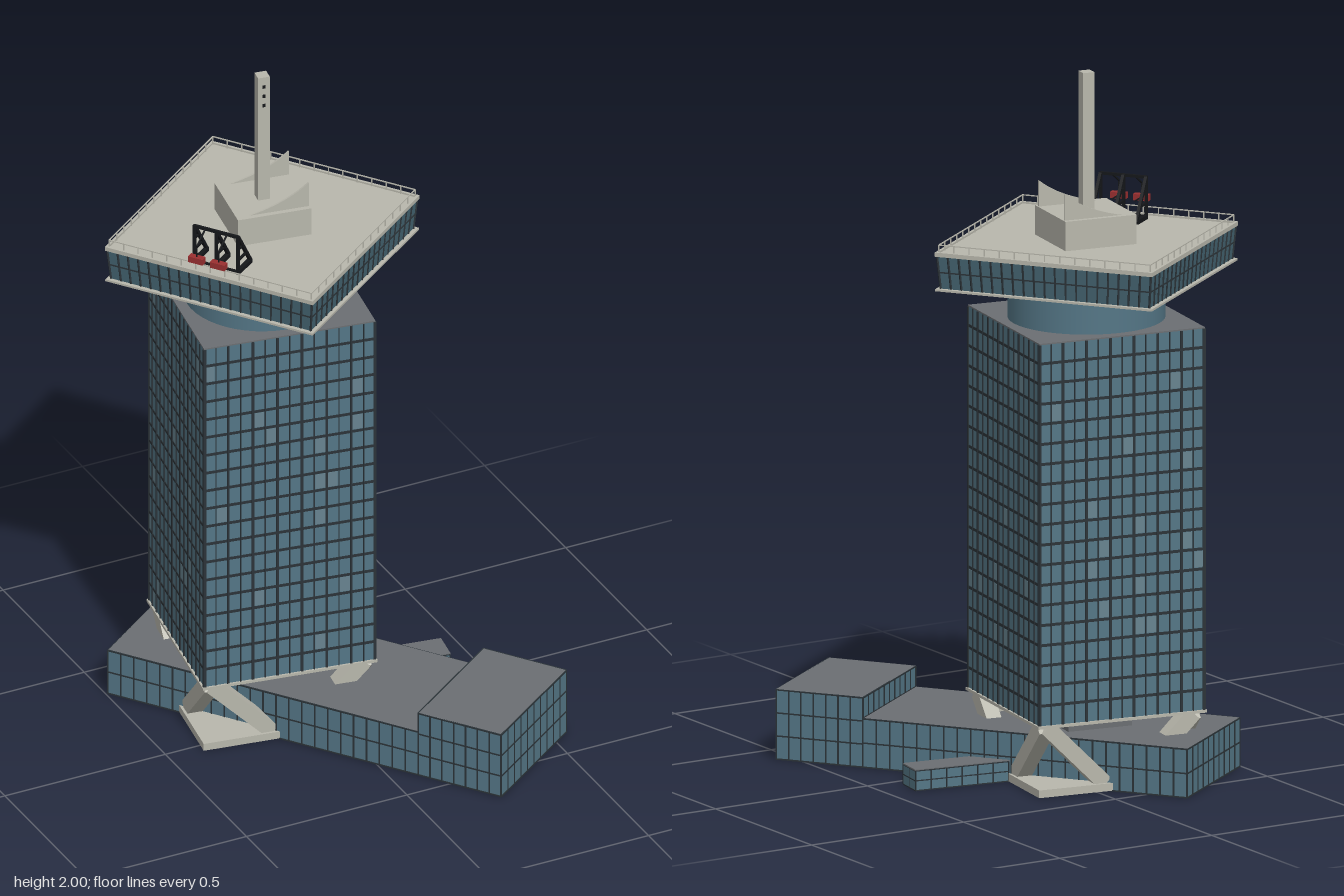
import * as THREE from 'three';
import { mergeGeometries } from 'three/addons/utils/BufferGeometryUtils.js';

const mat = (color, extra = {}) => new THREE.MeshStandardMaterial({ color, ...extra });
const glass = mat(0x547686, { side: THREE.DoubleSide, flatShading: true });
const smoothGlass = mat(0x547686);
const darkGlass = mat(0x456572, { flatShading: true });
const paleGlass = mat(0x67838f);
const frame = mat(0x2b3338);
const black = mat(0x15171a);
const concrete = mat(0xb8b7ac);
const grey = mat(0x6b6e72, { side: THREE.DoubleSide });
const red = mat(0x9a2f30);

function add(parent, name, geometry, material) {
  const mesh = new THREE.Mesh(geometry, material);
  mesh.name = name;
  parent.add(mesh);
  return mesh;
}

// box sitting between y0 and y1
const box = (w, d, y0, y1, x = 0, z = 0) =>
  new THREE.BoxGeometry(w, y1 - y0, d).translate(x, (y0 + y1) / 2, z);

// square bar between two points
function bar(a, b, w, t = w) {
  const A = new THREE.Vector3(...a), B = new THREE.Vector3(...b);
  const helper = new THREE.Object3D();
  helper.position.copy(A).add(B).multiplyScalar(0.5);
  helper.lookAt(B);
  helper.updateMatrix();
  return new THREE.BoxGeometry(w, t, A.distanceTo(B)).applyMatrix4(helper.matrix);
}

// upright wall panel from (x0,z0) to (x1,z1)
function wall(x0, z0, x1, z1, y0, y1) {
  return new THREE.PlaneGeometry(Math.hypot(x1 - x0, z1 - z0), y1 - y0)
    .rotateY(-Math.atan2(z1 - z0, x1 - x0))
    .translate((x0 + x1) / 2, (y0 + y1) / 2, (z0 + z1) / 2);
}

// frame strips along one wall line
function wallGrid(x0, z0, x1, z1, y0, y1, cols, rows, t) {
  const parts = [];
  for (let i = 0; i <= cols; i++) {
    const f = i / cols, x = x0 + (x1 - x0) * f, z = z0 + (z1 - z0) * f;
    parts.push(box(t, t, y0, y1, x, z));
  }
  for (let j = 0; j <= rows; j++) {
    const y = y0 + (y1 - y0) * j / rows;
    parts.push(bar([x0, y, z0], [x1, y, z1], t));
  }
  return parts;
}

function createTower(g) {
  const S = 0.503, h = S / 2, y0 = 0.205, y1 = 1.3, floors = 19, bays = 14;
  add(g, 'towerGlass', box(S - 0.004, S - 0.004, y0, y1 - 0.002), glass);
  add(g, 'towerRoof', box(S - 0.002, S - 0.002, y1 - 0.004, y1), grey);
  add(g, 'towerBaseSlab', box(S + 0.008, S + 0.008, 0.197, y0), concrete);

  const strips = [], panes = [];
  const step = (y1 - y0) / floors;
  let seed = 7;
  const rand = () => (seed = (seed * 16807) % 2147483647) / 2147483647;
  for (let j = 1; j < floors; j++)
    strips.push(box(S, S, y0 + j * step - 0.004, y0 + j * step + 0.004));
  for (let side = 0; side < 4; side++) {
    for (let i = 0; i <= bays; i++) {
      const t = i % 2 ? 0.003 : 0.007;
      const x = Math.max(-h + t / 2, Math.min(h - t / 2, -h + S * i / bays));
      strips.push(box(t, 0.005, y0, y1 - 0.004, x, h - 0.001).rotateY(side * Math.PI / 2));
    }
    // a few lighter window panes
    for (let k = 0; k < 14; k++) {
      const i = Math.floor(rand() * bays), j = Math.floor(rand() * floors);
      panes.push(box(S / bays - 0.007, 0.002, y0 + j * step + 0.006, y0 + (j + 1) * step - 0.006,
        -h + S * (i + 0.5) / bays, h - 0.002).rotateY(side * Math.PI / 2));
    }
  }
  add(g, 'towerWindowFrames', mergeGeometries(strips), frame);
  add(g, 'towerPalePanes', mergeGeometries(panes), paleGlass);

  // ground plate, core and paired raking legs at each corner
  add(g, 'groundPlate', box(S, S, 0, 0.022), concrete);
  add(g, 'core', box(0.193, 0.193, 0.02, 0.2), grey);
  const legs = [], e = h - 0.03;
  for (let c = 0; c < 4; c++) {
    legs.push(bar([e, 0.195, e], [e - 0.175, 0.02, e], 0.045).rotateY(c * Math.PI / 2));
    legs.push(bar([e, 0.195, e], [e, 0.02, e - 0.175], 0.045).rotateY(c * Math.PI / 2));
  }
  add(g, 'rakingLegs', mergeGeometries(legs), concrete);

  // entrance annex
  add(g, 'annexGlass', box(0.285, 0.085, 0, 0.056, 0.39, 0.009), glass);
  add(g, 'annexRoof', box(0.287, 0.087, 0.056, 0.06, 0.39, 0.009), grey);
  const a = [-0.034, 0.052].flatMap(z => wallGrid(0.25, z, 0.532, z, 0, 0.056, 6, 2, 0.003));
  a.push(...wallGrid(0.532, -0.034, 0.532, 0.052, 0, 0.056, 2, 2, 0.003));
  add(g, 'annexFrames', mergeGeometries(a), frame);

  // penthouse, two curved fins and mast
  add(g, 'penthouse', box(0.215, 0.215, 1.52, 1.605, 0.004, -0.005), concrete);
  const fin = new THREE.Shape();
  fin.moveTo(-0.07, 1.604);
  fin.lineTo(0.108, 1.604);
  fin.lineTo(0.108, 1.68);
  fin.quadraticCurveTo(0.04, 1.625, -0.07, 1.604);
  for (const z of [-0.095, 0.085])
    add(g, 'roofFin', new THREE.ExtrudeGeometry(fin, { depth: 0.006, bevelEnabled: false, curveSegments: 10 })
      .translate(0, 0, z - 0.003), concrete);
  add(g, 'mast', box(0.034, 0.034, 1.6, 2), concrete);
  const dots = [1.91, 1.94, 1.97].map(y => box(0.009, 0.002, y - 0.005, y + 0.005, 0, 0.0175));
  add(g, 'mastFittings', mergeGeometries(dots), black);
}

function createPlatform(g) {
  add(g, 'neck', new THREE.CylinderGeometry(0.22, 0.22, 0.125, 48).translate(0, 1.36, 0), smoothGlass);
  add(g, 'platformFloor', box(0.648, 0.648, 1.415, 1.421), concrete);
  const r = Math.SQRT2, b = 0.312, t = 0.32;
  add(g, 'platformGlass', new THREE.CylinderGeometry(t * r, b * r, 0.095, 4)
    .rotateY(Math.PI / 4).translate(0, 1.4685, 0), darkGlass);
  add(g, 'platformRoof', box(0.65, 0.65, 1.514, 1.521), concrete);
  const mullions = [], rails = [], curbs = [];
  for (let s = 0; s < 4; s++) {
    const turn = geo => geo.rotateY(s * Math.PI / 2);
    for (let i = 0; i <= 20; i++) {
      const f = i / 10 - 1;
      mullions.push(turn(bar([f * b, 1.421, b], [f * t, 1.515, t], 0.005)));
    }
    mullions.push(turn(bar([-0.316, 1.468, 0.316], [0.316, 1.468, 0.316], 0.004)));
    for (let i = 0; i < 14; i++)
      rails.push(turn(box(0.003, 0.003, 1.52, 1.547, -0.316 + 0.632 * i / 14, 0.316)));
    rails.push(turn(bar([-0.316, 1.546, 0.316], [0.316, 1.546, 0.316], 0.003)));
    curbs.push(turn(box(0.65, 0.008, 1.52, 1.526, 0, 0.321)));
  }
  add(g, 'platformMullions', mergeGeometries(mullions), frame);
  add(g, 'railing', mergeGeometries(rails), concrete);
  add(g, 'roofCurb', mergeGeometries(curbs), concrete);

  // window-cleaning hoist: three triangular frames with hung cradles
  const hoist = [], cables = [];
  for (const z of [-0.068, 0, 0.068]) {
    hoist.push(bar([-0.279, 1.527, z], [-0.204, 1.527, z], 0.012));
    hoist.push(bar([-0.279, 1.52, z], [-0.279, 1.643, z], 0.008));
    hoist.push(bar([-0.204, 1.527, z], [-0.279, 1.64, z], 0.009));
    hoist.push(bar([-0.279, 1.565, z], [-0.229, 1.565, z], 0.006));
    hoist.push(bar([-0.279, 1.6, z], [-0.252, 1.6, z], 0.006));
  }
  for (const y of [1.527, 1.64]) hoist.push(bar([-0.279, y, -0.07], [-0.279, y, 0.07], 0.008));
  for (const z of [-0.034, 0.034]) {
    cables.push(bar([-0.279, 1.64, z], [-0.331, 1.61, z], 0.004));
    cables.push(bar([-0.331, 1.61, z], [-0.331, 1.575, z], 0.003));
    cables.push(bar([-0.279, 1.568, z], [-0.331, 1.568, z], 0.003));
    add(g, 'cradle', box(0.02, 0.045, 1.559, 1.577, -0.331, z), red);
  }
  add(g, 'hoistFrames', mergeGeometries(hoist), black);
  add(g, 'hoistCables', mergeGeometries(cables), black);
}

function createPodium(g) {
  const w = 0.198, back = -0.38, mid = 0.59, end = 0.849, low = 0.14, high = 0.2;
  const walls = [], strips = [];
  const side = (x0, z0, x1, z1, y0, y1, cols, rows) => {
    walls.push(wall(x0, z0, x1, z1, y0, y1));
    strips.push(...wallGrid(x0, z0, x1, z1, y0, y1 - 0.002, cols, rows, 0.004));
  };
  side(w, back, -w, back, 0, low, 10, 2);
  side(-w, end, w, end, 0, high, 10, 3);
  side(w, mid, -w, mid, low, high, 10, 1);
  side(-w, back, -w, mid, 0, low, 24, 2);
  side(w, mid, w, back, 0, low, 24, 2);
  side(-w, mid, -w, end, 0, high, 7, 3);
  side(w, end, w, mid, 0, high, 7, 3);
  add(g, 'podiumGlass', mergeGeometries(walls), glass);
  add(g, 'podiumFrames', mergeGeometries(strips), frame);
  add(g, 'podiumRoof', box(2 * w, mid - back, low - 0.003, low, 0, (mid + back) / 2), grey);
  add(g, 'wingRoof', box(2 * w, end - mid, high - 0.003, high, 0, (mid + end) / 2), grey);
}

export function createModel() {
  const model = new THREE.Group();
  model.name = 'towerBuilding';
  const section = (name, degrees, build) => {
    const g = new THREE.Group();
    g.name = name;
    g.position.set(-0.11, 0, -0.175);
    g.rotation.y = THREE.MathUtils.degToRad(degrees);
    build(g);
    model.add(g);
  };
  section('tower', -9, createTower);
  section('platform', 36, createPlatform);
  section('podium', 36, createPodium);
  return model;
}
